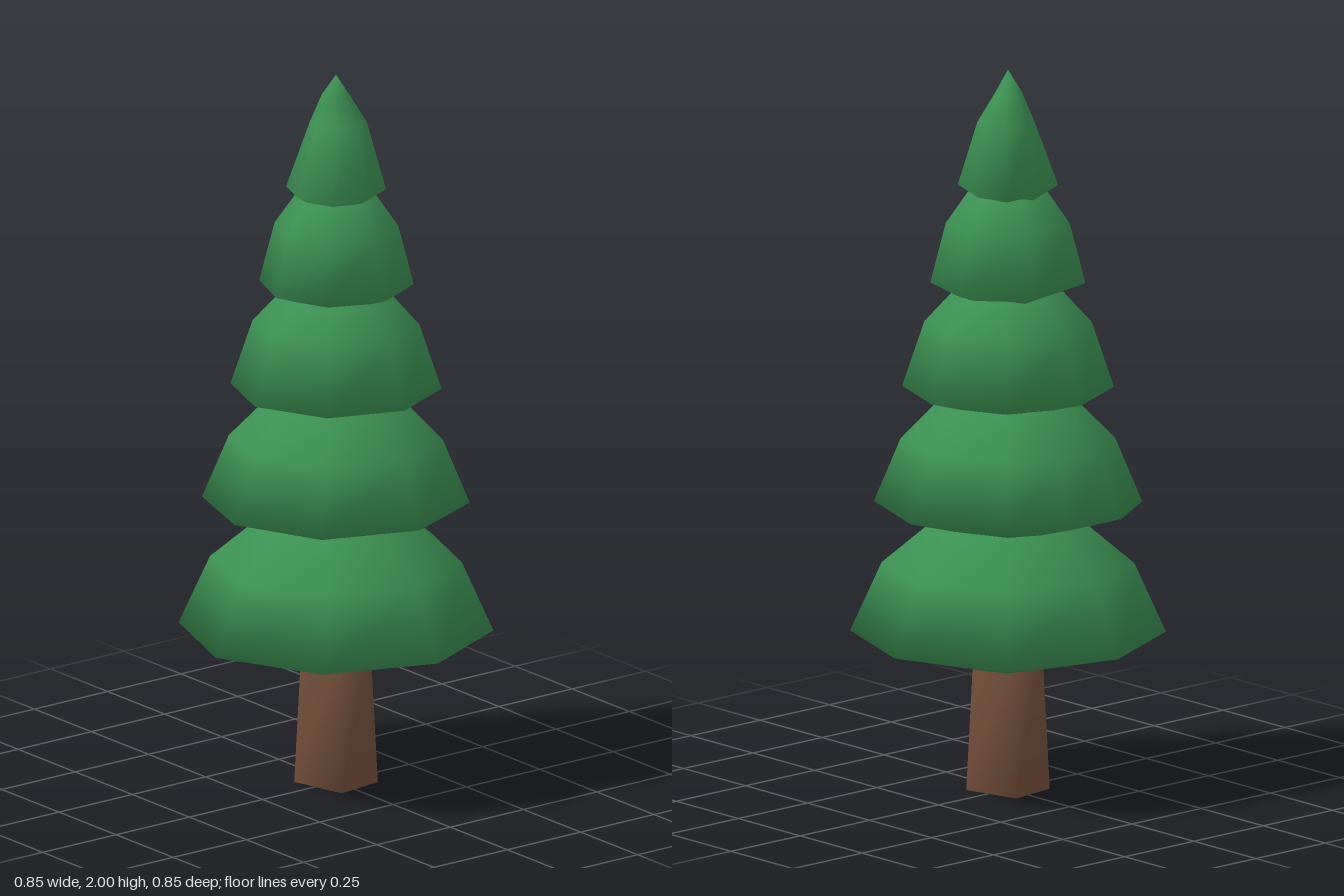
import * as THREE from 'three';

// Closed, smooth-shaded solid: an outline of [x, z] points repeated at
// levels [y, scale, dx, dz]; scale 0 closes the solid with a single point.
function loft(outline, levels) {
  const n = outline.length, positions = [], index = [], rings = [];
  for (const [y, s, dx = 0, dz = 0] of levels) {
    const start = positions.length / 3;
    const points = s === 0 ? [[0, 0]] : outline;
    for (const [x, z] of points) positions.push(x * s + dx, y, z * s + dz);
    rings.push((i) => (s === 0 ? start : start + (i % n)));
  }
  for (let r = 0; r < rings.length - 1; r++) {
    const low = rings[r], up = rings[r + 1];
    for (let i = 0; i < n; i++) {
      if (levels[r][1] > 0) index.push(low(i), up(i), low(i + 1));
      if (levels[r + 1][1] > 0) index.push(low(i + 1), up(i), up(i + 1));
    }
  }
  const geometry = new THREE.BufferGeometry();
  geometry.setAttribute('position', new THREE.Float32BufferAttribute(positions, 3));
  geometry.setIndex(index);
  geometry.computeVertexNormals();
  return geometry;
}

// Slightly turned regular octagon
function octagon(radius) {
  return Array.from({ length: 8 }, (_, i) => {
    const a = (i * Math.PI) / 4 - 0.04;
    return [radius * Math.cos(a), radius * Math.sin(a)];
  });
}

export function createModel() {
  const tree = new THREE.Group();
  tree.name = 'tree';
  const needles = new THREE.MeshStandardMaterial({ color: 0x3b9152 });
  needles.name = 'needle green';
  const bark = new THREE.MeshStandardMaterial({ color: 0x74503a });
  bark.name = 'bark brown';

  const add = (name, material, outline, levels) => {
    const mesh = new THREE.Mesh(loft(outline, levels), material);
    mesh.name = name;
    tree.add(mesh);
  };

  // Four-sided, tapering trunk
  add('trunk', bark, [[0.088, 0.05], [-0.07, 0.088], [-0.088, -0.05], [0.07, -0.088]],
    [[0, 0], [0, 1], [0.4, 0.82], [0.4, 0]]);

  // Branch tiers, bottom to top: underside, rim, shoulder, crown
  const unevenWide = [[0.355, -0.01], [0.26, 0.25], [0.01, 0.355], [-0.24, 0.27], [-0.345, 0.1],
    [-0.345, -0.08], [-0.27, -0.245], [-0.01, -0.36], [0.245, -0.265]];
  const unevenNarrow = [[0.205, -0.01], [0.14, 0.145], [0, 0.205], [-0.15, 0.145],
    [-0.195, -0.08], [-0.03, -0.205], [0.135, -0.16]];
  const tiers = [
    [octagon(0.425), [[0.32, 0], [0.44, 1], [0.63, 0.8], [0.755, 0.45], [0.85, 0]]],
    [unevenWide, [[0.69, 0], [0.8, 1], [0.975, 0.8], [1.09, 0.49], [1.17, 0]]],
    [octagon(0.285), [[1.03, 0], [1.12, 1], [1.3, 0.79], [1.39, 0.5], [1.47, 0]]],
    [unevenNarrow, [[1.33, 0], [1.41, 1], [1.575, 0.8], [1.66, 0.52], [1.72, 0]]],
    // Tip leans out a little to the back and right
    [octagon(0.135), [[1.59, 0], [1.68, 1], [1.86, 0.57, -0.012, -0.018],
      [1.94, 0.27, -0.014, -0.01], [2, 0]]],
  ];
  tiers.forEach(([outline, levels], i) => add(`branchTier${i + 1}`, needles, outline, levels));

  return tree;
}
